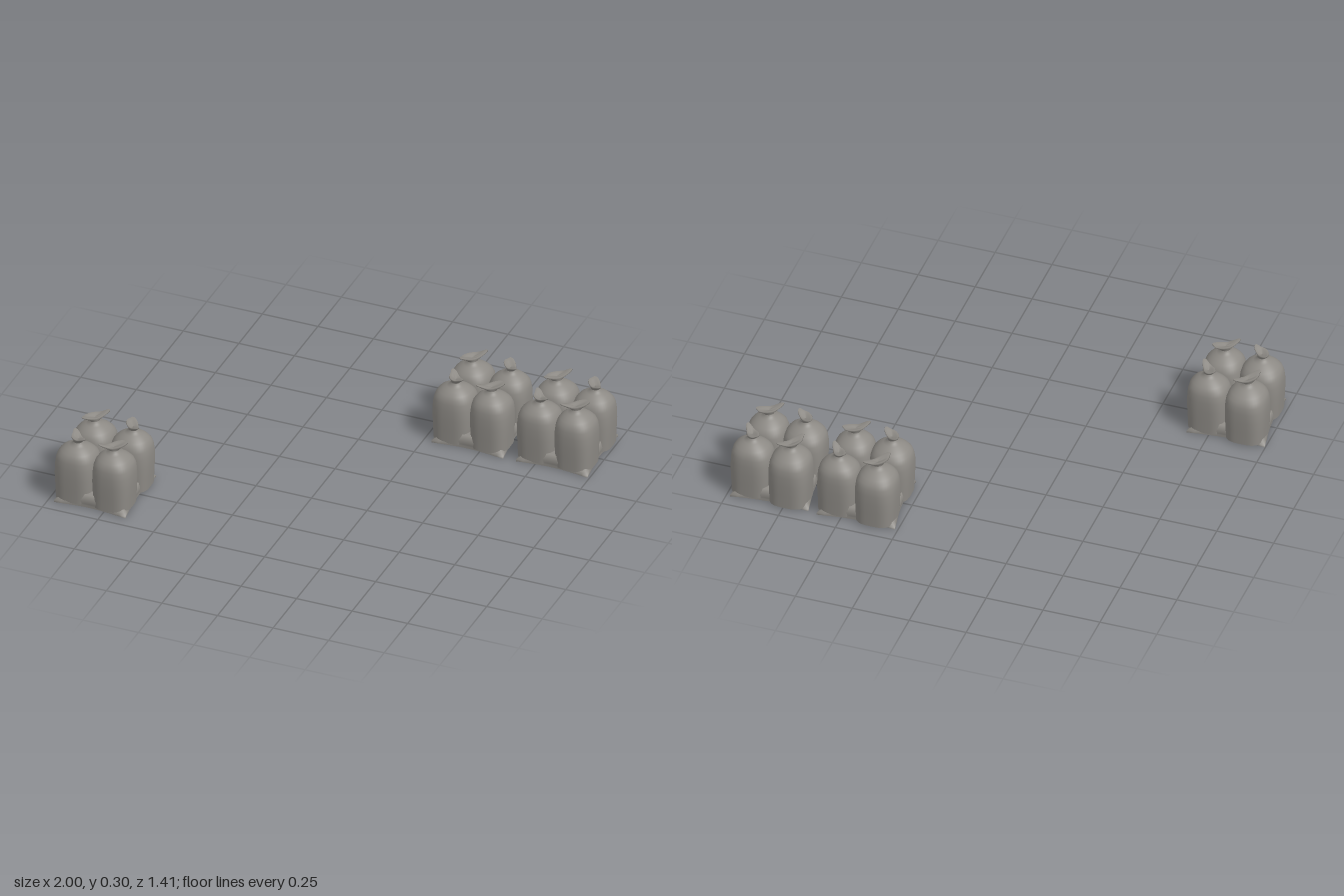
import * as THREE from 'three';

const cloth = new THREE.MeshStandardMaterial({ color: 0x8c8984 });
cloth.name = 'grey cloth';

// Smooth skin over closed rings, listed bottom to top; each ring is an array of [x, y, z]
function loft(name, rings) {
  const n = rings[0].length, index = [];
  for (let r = 0; r < rings.length - 1; r++) {
    for (let i = 0; i < n; i++) {
      const a = r * n + i, b = r * n + (i + 1) % n;
      index.push(a, a + n, b, b, a + n, b + n);
    }
  }
  const geo = new THREE.BufferGeometry();
  geo.setAttribute('position', new THREE.Float32BufferAttribute(rings.flat(2), 3));
  geo.setIndex(index);
  geo.computeVertexNormals();
  const mesh = new THREE.Mesh(geo, cloth);
  mesh.name = name;
  return mesh;
}

const ringOf = (n, fn) => Array.from({ length: n }, (_, i) => fn(i / n * Math.PI * 2, i));
const rounded = (v, p) => Math.sign(v) * Math.abs(v) ** (2 / p);

// [height, width factor, squareness]
const bodyProfile = [
  [0.008, 0.94, 3.2], [0.03, 0.95, 3.2], [0.07, 0.97, 3.1], [0.12, 1, 3], [0.165, 1, 2.8],
  [0.195, 0.97, 2.6], [0.215, 0.9, 2.4], [0.23, 0.77, 2.2], [0.243, 0.59, 2.1],
  [0.251, 0.42, 2], [0.258, 0.29, 2], [0.268, 0.23, 2],
];

// Full sack body, narrowing to its tied neck
function sackBody(s) {
  return loft('sackBody', bodyProfile.map(([y, f, p]) => {
    const k = THREE.MathUtils.smoothstep(y, 0.19, 0.26);
    const cx = THREE.MathUtils.lerp(s.x, s.neck[0], k);
    const cz = THREE.MathUtils.lerp(s.z, s.neck[1], k);
    return ringOf(40, a => [
      cx + s.rx * f * rounded(Math.cos(a), p), y, cz + s.rz * f * rounded(Math.sin(a), p),
    ]);
  }));
}

// Gathered cloth above the tie: [height, half length factor, half width, ruffle]
const frillProfile = [
  [0.256, 0.4, 0.022, 0], [0.264, 0.33, 0.019, 0], [0.271, 0.4, 0.019, 0.1],
  [0.28, 0.72, 0.021, 0.5], [0.289, 1, 0.024, 1], [0.293, 0.98, 0.022, 1],
  [0.287, 0.66, 0.013, 0.6], [0.28, 0, 0, 0],
];

function sackFrill(s) {
  const mesh = loft('sackFrill', frillProfile.map(([y, f, w, ruffle]) => ringOf(28, a => {
    const wave = 1 + 0.14 * ruffle * Math.sin(3 * a + s.phase);
    const lift = ruffle * (0.006 * Math.cos(2 * a) + 0.003 * Math.sin(3 * a + s.phase));
    return [s.length * f * Math.cos(a) * wave, y + lift, w * Math.sin(a) * wave];
  })));
  mesh.position.set(s.neck[0], 0, s.neck[1]);
  mesh.rotation.y = s.turn;
  return mesh;
}

// Shared base with four pinched corners
function baseCloth() {
  const corners = [[0.172, 0.178], [-0.152, 0.174], [-0.178, -0.162], [0.162, -0.172]];
  const ring = (y, scale, round) => ringOf(48, (_, i) => {
    const c = corners[Math.floor(i / 12)], d = corners[(Math.floor(i / 12) + 1) % 4];
    const t = (i % 12) / 12;
    const pull = 1 - 0.09 * Math.sin(Math.PI * t);
    const x = THREE.MathUtils.lerp(c[0], d[0], t), z = THREE.MathUtils.lerp(c[1], d[1], t);
    const corner = Math.abs(2 * t - 1) ** 4;
    const k = scale * THREE.MathUtils.lerp(pull, 1 - 0.1 * corner, round);
    return [x * k, y, z * k];
  });
  return loft('baseCloth', [
    ring(0, 0, 0), ring(0, 1, 0), ring(0, 1, 0), ring(0.009, 1, 0),
    ring(0.016, 0.965, 0.4), ring(0.03, 0.94, 0.9), ring(0.06, 0.9, 1), ring(0.075, 0, 1),
  ]);
}

const sacks = [
  { name: 'backRightSack', x: -0.08, z: -0.098, rx: 0.088, rz: 0.092, neck: [-0.08, -0.092], length: 0.063, turn: 0.87, phase: 0.4 },
  { name: 'backLeftSack', x: 0.092, z: -0.086, rx: 0.088, rz: 0.082, neck: [0.095, -0.087], length: 0.05, turn: -0.92, phase: 2 },
  { name: 'frontRightSack', x: -0.081, z: 0.083, rx: 0.09, rz: 0.088, neck: [-0.078, 0.09], length: 0.048, turn: -0.8, phase: 3.3 },
  { name: 'frontLeftSack', x: 0.086, z: 0.087, rx: 0.086, rz: 0.089, neck: [0.084, 0.091], length: 0.06, turn: 0.65, phase: 5 },
];

export function createModel() {
  const model = new THREE.Group();
  model.name = 'sackStacks';

  // One cluster of four sacks
  const cluster = new THREE.Group();
  cluster.add(baseCloth());
  for (const s of sacks) {
    const sack = new THREE.Group();
    sack.name = s.name;
    sack.add(sackBody(s), sackFrill(s));
    cluster.add(sack);
  }

  // Three copies of the cluster
  [[-0.82, 0.52], [0.44, -0.52], [0.82, -0.52]].forEach(([x, z], i) => {
    const copy = cluster.clone();
    copy.name = `sackCluster${i + 1}`;
    copy.position.set(x, 0, z);
    model.add(copy);
  });
  return model;
}
